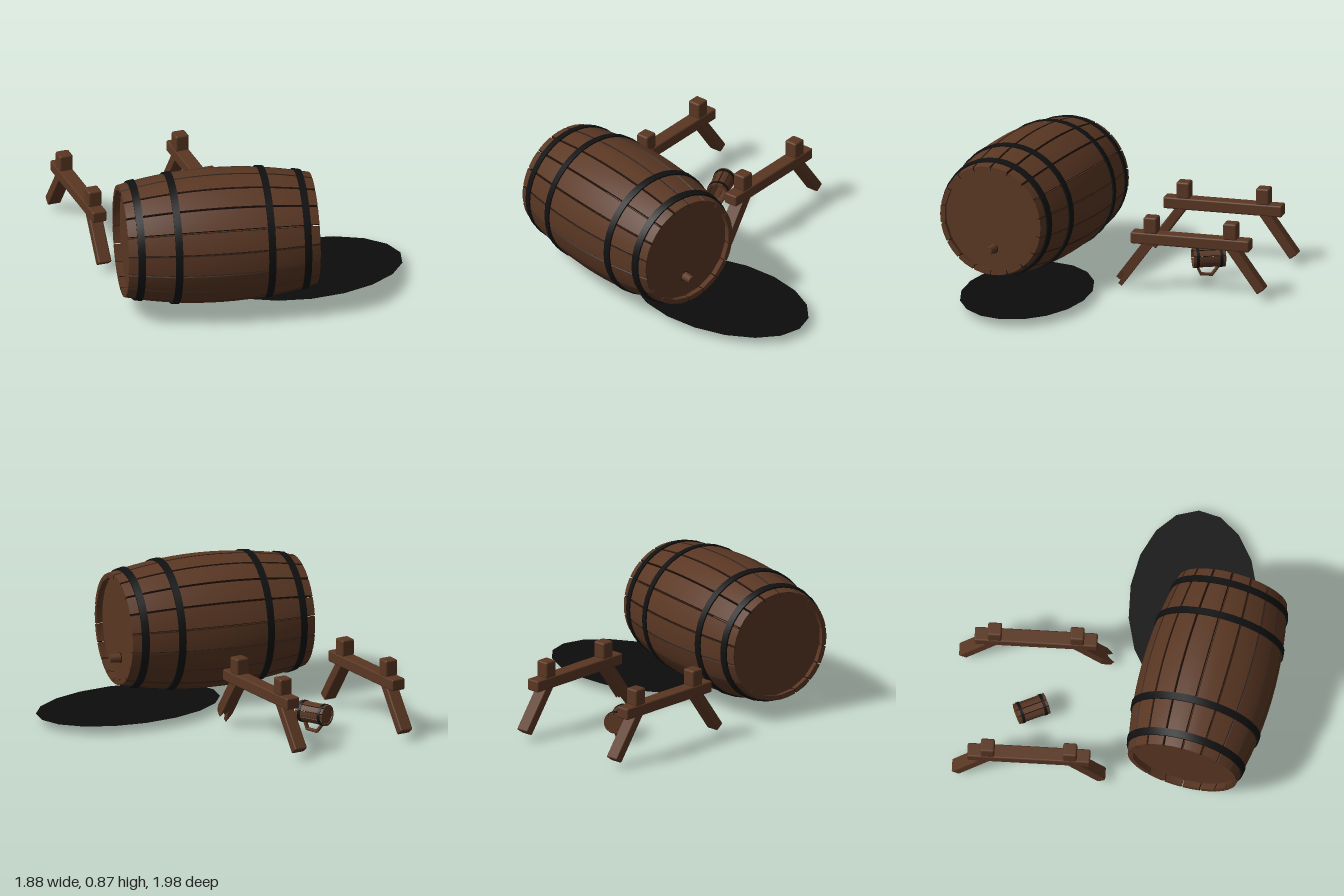
import * as THREE from 'three';
import { toCreasedNormals } from 'three/addons/utils/BufferGeometryUtils.js';
import { RoundedBoxGeometry } from 'three/addons/geometries/RoundedBoxGeometry.js';

const mat = (name, color, extra = {}) => new THREE.MeshStandardMaterial({ name, color, ...extra });

export function createModel() {
  const wood = mat('wood', 0x5a3723);
  const seam = mat('darkSeam', 0x28160d);
  const iron = mat('blackIron', 0x111111);
  const spill = mat('spill', 0x0c0c0c, { side: THREE.DoubleSide });
  const model = new THREE.Group();

  const add = (parent, name, geometry, material, x = 0, y = 0, z = 0) => {
    const mesh = new THREE.Mesh(geometry, material);
    mesh.name = name;
    mesh.position.set(x, y, z);
    parent.add(mesh);
    return mesh;
  };
  const group = (parent, name, x = 0, y = 0, z = 0) => {
    const g = new THREE.Group();
    g.name = name;
    g.position.set(x, y, z);
    parent.add(g);
    return g;
  };

  // Ring of separate staves along local x, with dark bevelled seams between them
  function addStaves(parent, { count, half, radius, thick, gap, bevel, steps, start }) {
    const faces = { wood: [], seam: [] };
    const tri = (list, ...pts) => pts.forEach((p) => list.push(...p));
    for (let s = 0; s < count; s++) {
      const mid = start + (s * 2 * Math.PI) / count;
      const section = (x) => {
        const r = radius(x);
        const a = Math.PI / count - gap / 2 / r;
        const b = a - bevel / r;
        return [[r, -b], [r, 0], [r, b], [r - bevel * 1.5, a], [r - thick, a], [r - thick, -a], [r - bevel * 1.5, -a]]
          .map(([q, t]) => [x, q * Math.sin(mid + t), q * Math.cos(mid + t)]);
      };
      const rings = [];
      for (let i = 0; i <= steps; i++) rings.push(section(-half + (2 * half * i) / steps));
      for (let i = 0; i < steps; i++) {
        const p = rings[i], q = rings[i + 1];
        for (let k = 0; k < 7; k++) {
          const n = (k + 1) % 7;
          const list = k < 2 || k === 4 ? faces.wood : faces.seam;
          tri(list, p[k], q[k], q[n], p[k], q[n], p[n]);
        }
      }
      // stave ends
      const p = rings[0], q = rings[steps];
      for (let k = 2; k < 7; k++) {
        const n = (k + 1) % 7;
        tri(faces.wood, p[1], p[k], p[n]);
        tri(faces.wood, q[1], q[n], q[k]);
      }
    }
    const build = (list) => {
      const g = new THREE.BufferGeometry();
      g.setAttribute('position', new THREE.Float32BufferAttribute(list, 3));
      return toCreasedNormals(g, 0.45);
    };
    add(parent, 'staves', build(faces.wood), wood);
    add(parent, 'staveSeams', build(faces.seam), seam);
  }

  // Iron hoop following the bulge, around local x
  function addHoop(parent, x, width, radius, thick) {
    const lo = x - width / 2, hi = x + width / 2;
    const profile = [[radius(lo) - 0.004, lo], [radius(lo) + thick, lo], [radius(hi) + thick, hi],
      [radius(hi) - 0.004, hi], [radius(lo) - 0.004, lo]].map(([r, y]) => new THREE.Vector2(r, y));
    const g = new THREE.LatheGeometry(profile, 36).rotateZ(-Math.PI / 2);
    add(parent, 'hoop', toCreasedNormals(g, 0.5), iron);
  }

  // Barrel lying on its side
  const barrel = group(model, 'barrel', -0.295, 0.46, 0.525);
  barrel.rotation.y = -0.206;
  const bulge = (x) => 0.41 - 0.068 * (x / 0.585) ** 2;
  addStaves(barrel, { count: 18, half: 0.587, radius: bulge, thick: 0.028, gap: 0.006, bevel: 0.004, steps: 14, start: 0 });
  for (const x of [-0.51, -0.285, 0.285, 0.51]) addHoop(barrel, x, 0.044, bulge, 0.009);
  for (const side of [-1, 1]) {
    add(barrel, 'barrelHead', new THREE.CylinderGeometry(0.322, 0.322, 0.03, 36).rotateZ(Math.PI / 2), wood, side * 0.53);
  }
  // Tap plug low on the head
  const plug = new THREE.CylinderGeometry(0.024, 0.03, 0.08, 12).rotateZ(-Math.PI / 2);
  add(barrel, 'plug', plug, wood, 0.575, -0.185, 0);
  add(barrel, 'plugRing', new THREE.TorusGeometry(0.029, 0.004, 6, 16).rotateY(Math.PI / 2), seam, 0.547, -0.185, 0);

  // Spilled puddle
  const puddle = new THREE.CircleGeometry(1, 18).rotateX(-Math.PI / 2).scale(0.61, 1, 0.39);
  add(model, 'puddle', puddle, spill, 0.33, 0.053, 0.4);

  // Splintered leg: two jagged layers of different length
  function addBrokenLeg(parent) {
    const layers = [
      [0.028, -0.03, [[0.042, -0.29], [0.028, -0.25], [0.012, -0.28], [-0.004, -0.25], [-0.022, -0.355], [-0.042, -0.28]]],
      [0.032, -0.002, [[0.042, -0.25], [0.024, -0.31], [0.008, -0.24], [-0.012, -0.27], [-0.026, -0.33], [-0.042, -0.23]]],
    ];
    for (const [depth, z, tips] of layers) {
      const shape = new THREE.Shape([[-0.042, 0.02], ...[...tips].reverse(), [0.042, 0.02]].map(([x, y]) => new THREE.Vector2(x, y)));
      add(parent, 'splinteredWood', new THREE.ExtrudeGeometry(shape, { depth, bevelEnabled: false }), wood, 0, 0, z);
    }
  }

  // Trestle stands
  for (const [x, broken] of [[-0.795, false], [-0.045, true]]) {
    const stand = group(model, broken ? 'brokenStand' : 'stand', x, 0, -0.53);
    add(stand, 'beam', new RoundedBoxGeometry(0.09, 0.072, 0.745, 2, 0.01), wood, 0, 0.335, 0);
    for (const side of [-1, 1]) {
      add(stand, 'restBlock', new RoundedBoxGeometry(0.085, 0.105, 0.085, 2, 0.012), wood, 0, 0.418, side * 0.25);
      const leg = group(stand, 'leg', 0, 0.31, side * 0.26);
      leg.rotation.x = -side * 0.628;
      if (broken && side > 0) addBrokenLeg(leg);
      else add(leg, 'legPost', new RoundedBoxGeometry(0.084, 0.335, 0.06, 2, 0.009), wood, 0, -0.1475, 0);
    }
  }

  // Wooden mug on its side, open towards +x
  const mug = group(model, 'mug', -0.42, 0.123, -0.535);
  mug.rotation.y = -1.147;
  const mugRadius = (x) => 0.063 + 0.02 * Math.abs(x);
  addStaves(mug, { count: 10, half: 0.098, radius: mugRadius, thick: 0.011, gap: 0.002, bevel: 0.002, steps: 2, start: 0 });
  for (const x of [-0.072, 0.072]) addHoop(mug, x, 0.018, mugRadius, 0.003);
  add(mug, 'mugBase', new THREE.CylinderGeometry(0.056, 0.056, 0.014, 20).rotateZ(Math.PI / 2), wood, -0.085);

  // Handle made of three bars
  const path = [[0.07, -0.058], [0.048, -0.108], [-0.02, -0.113], [-0.062, -0.058]];
  for (let i = 0; i < 3; i++) {
    const [ax, ay] = path[i], [bx, by] = path[i + 1];
    const length = Math.hypot(bx - ax, by - ay) + 0.012;
    const bar = add(mug, 'handleBar', new RoundedBoxGeometry(length, 0.016, 0.024, 1, 0.003), wood, (ax + bx) / 2, (ay + by) / 2, 0);
    bar.rotation.z = Math.atan2(by - ay, bx - ax);
  }
  return model;
}
